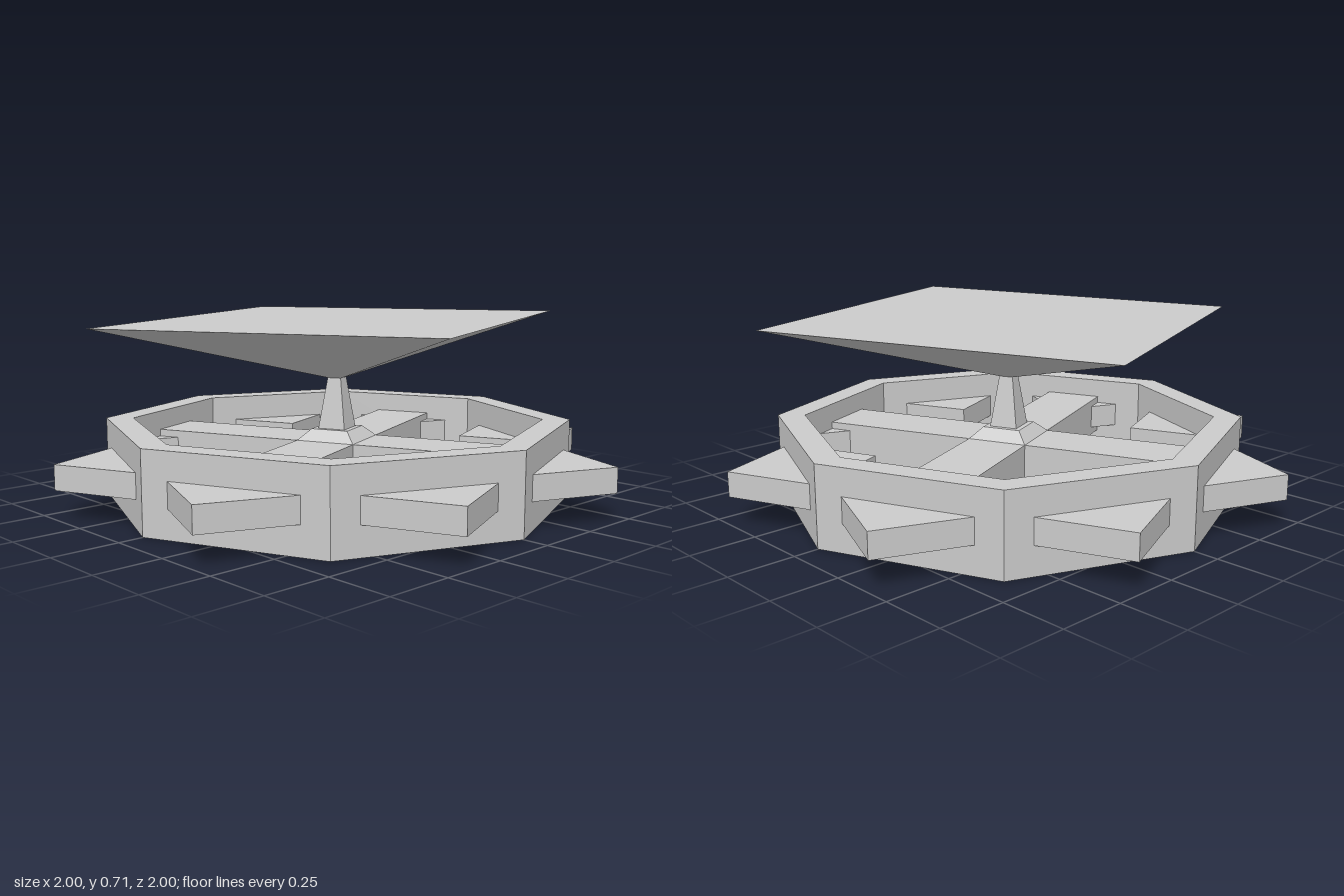
import * as THREE from 'three';

const material = new THREE.MeshStandardMaterial({ color: 0xcccccc, flatShading: true });

function part(name, geometry, parent) {
  const mesh = new THREE.Mesh(geometry, material);
  mesh.name = name;
  parent.add(mesh);
  return mesh;
}

// Square frustum between two heights; sides are full widths, faces along x and z.
function frustum(bottomSide, topSide, y0, y1) {
  const g = new THREE.CylinderGeometry(topSide / Math.SQRT2, bottomSide / Math.SQRT2, y1 - y0, 4);
  return g.rotateY(Math.PI / 4).translate(0, (y0 + y1) / 2, 0);
}

export function createModel() {
  const model = new THREE.Group();
  model.name = 'dishPlatform';

  // Octagonal ring with a closed rectangular section
  const outer = 0.906, inner = 0.8, height = 0.305;
  const section = [[inner, 0], [outer, 0], [outer, height], [inner, height], [inner, 0]]
    .map(([r, y]) => new THREE.Vector2(r, y));
  part('ring', new THREE.LatheGeometry(section, 8), model);

  // Square plates passing corner-first through each side of the ring
  const tip = 1.082, halfDiagonal = 0.272;
  const plateSide = halfDiagonal * Math.SQRT2;
  for (let i = 0; i < 8; i++) {
    const angle = Math.PI / 8 + (i * Math.PI) / 4;
    const r = tip - halfDiagonal;
    const plate = part('fin', new THREE.BoxGeometry(plateSide, 0.095, plateSide), model);
    plate.position.set(r * Math.cos(angle), 0.155, r * Math.sin(angle));
    plate.rotation.y = Math.PI / 4 - angle;
  }

  // Everything in the middle is turned to meet the ring's flat sides
  const centre = new THREE.Group();
  centre.name = 'centre';
  centre.rotation.y = Math.PI / 8;
  model.add(centre);

  // Crossed beams
  for (let i = 0; i < 2; i++) {
    const beam = part('crossBeam', new THREE.BoxGeometry(1.5, 0.155, 0.234), centre);
    beam.position.y = 0.1525;
    beam.rotation.y = (i * Math.PI) / 2;
  }

  // Stepped post
  part('postBase', frustum(0.234, 0.15, 0.23, 0.272), centre);
  part('post', frustum(0.11, 0.054, 0.27, 0.47), centre);

  // Inverted pyramid dish with a slightly tilted flat top
  const dish = frustum(0.054, 1.35, 0.468, 0.694);
  const pos = dish.attributes.position;
  for (let i = 0; i < pos.count; i++) {
    if (pos.getY(i) > 0.6) {
      pos.setY(i, 0.694 + 0.0085 * (pos.getX(i) + pos.getZ(i)));
    }
  }
  part('dish', dish, centre);

  return model;
}
